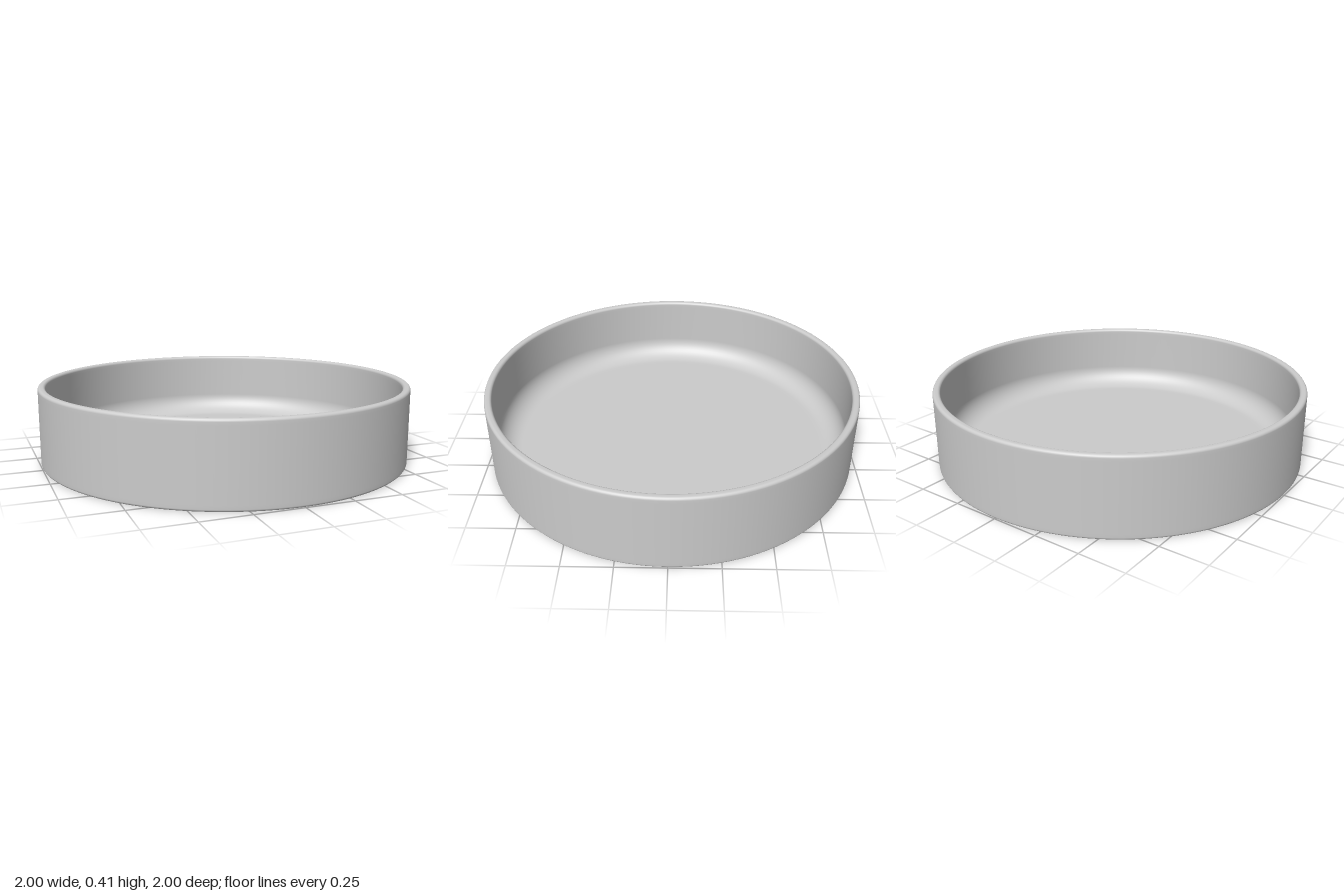
import * as THREE from 'three';

const OUTER = 1, INNER = 0.96, HEIGHT = 0.415, FLOOR = 0.04;
const BEVEL = 0.012, RIM = 0.015, FILLET = 0.115;

// Points of a quarter-round in the profile, from angle a to b (degrees)
function arc(cx, cy, r, a, b, steps) {
  return Array.from({ length: steps + 1 }, (_, i) => {
    const t = THREE.MathUtils.degToRad(a + (b - a) * i / steps);
    return new THREE.Vector2(cx + r * Math.cos(t), cy + r * Math.sin(t));
  });
}

export function createModel() {
  const group = new THREE.Group();
  group.name = 'shallowDish';

  // One closed profile: underside, outer wall, rounded rim, inner wall, filleted floor
  const profile = [
    new THREE.Vector2(0, 0),
    new THREE.Vector2(OUTER - 0.03, 0),
    ...arc(OUTER - BEVEL, BEVEL, BEVEL, -90, 0, 4),
    new THREE.Vector2(OUTER, 0.03),
    new THREE.Vector2(OUTER, HEIGHT - 0.03),
    ...arc(OUTER - RIM, HEIGHT - RIM, RIM, 0, 90, 5),
    ...arc(INNER + RIM, HEIGHT - RIM, RIM, 90, 180, 5),
    new THREE.Vector2(INNER, HEIGHT - 0.03),
    ...arc(INNER - FILLET, FLOOR + FILLET, FILLET, 0, -90, 12),
    new THREE.Vector2(INNER - FILLET - 0.02, FLOOR),
    new THREE.Vector2(0, FLOOR),
  ];

  const dish = new THREE.Mesh(
    new THREE.LatheGeometry(profile, 128),
    new THREE.MeshStandardMaterial({ color: 0xcccccc })
  );
  dish.name = 'dish';
  group.add(dish);
  return group;
}
